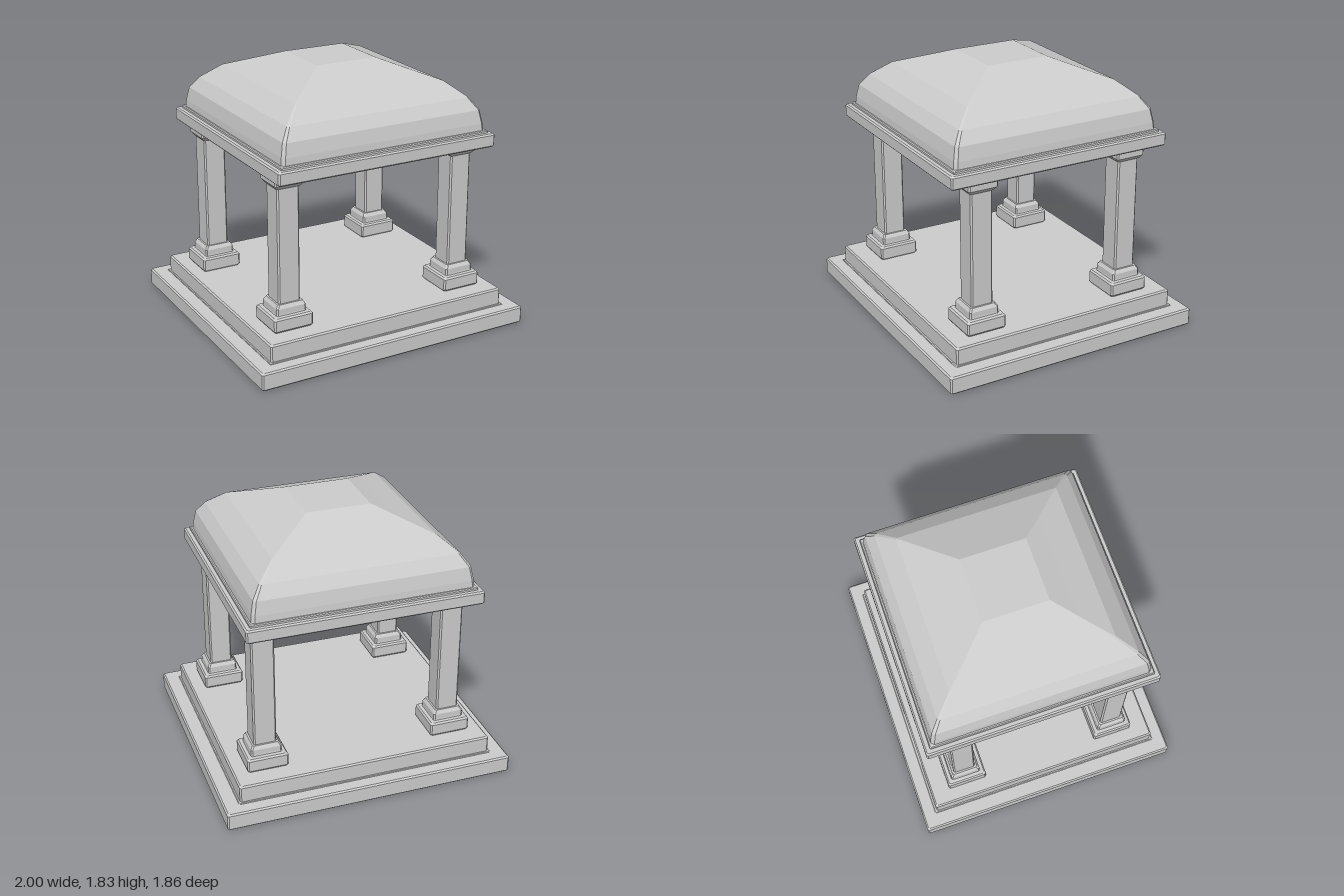
import * as THREE from 'three';

const material = new THREE.MeshStandardMaterial({ color: 0xcccccc, flatShading: true });

// Rectangular section with its four corners cut by c, counter-clockwise from above.
function section([hx, hz, y, c]) {
  const ix = hx - c, iz = hz - c;
  return [[hx, iz], [hx, -iz], [ix, -hz], [-ix, -hz], [-hx, -iz], [-hx, iz], [-ix, hz], [ix, hz]]
    .map(([x, z]) => [x, y, z]);
}

// Closed solid through sections [halfX, halfZ, y, cornerCut], listed bottom to top.
function loft(name, levels) {
  const rings = levels.map(section);
  const n = 8, pos = [];
  const tri = (a, b, c) => pos.push(...a, ...b, ...c);
  for (let k = 0; k < rings.length - 1; k++) {
    const lo = rings[k], hi = rings[k + 1];
    for (let i = 0; i < n; i++) {
      const j = (i + 1) % n;
      tri(lo[i], lo[j], hi[j]);
      tri(lo[i], hi[j], hi[i]);
    }
  }
  const bottom = rings[0], top = rings[rings.length - 1];
  for (let i = 1; i < n - 1; i++) {
    tri(bottom[0], bottom[i + 1], bottom[i]);
    tri(top[0], top[i], top[i + 1]);
  }
  const geometry = new THREE.BufferGeometry();
  geometry.setAttribute('position', new THREE.Float32BufferAttribute(pos, 3));
  geometry.computeVertexNormals();
  const mesh = new THREE.Mesh(geometry, material);
  mesh.name = name;
  return mesh;
}

// Slab with bevelled edges.
function slab(name, hx, hz, y0, y1, b = 0.01) {
  return loft(name, [
    [hx - b, hz - b, y0, b], [hx, hz, y0 + b, b],
    [hx, hz, y1 - b, b], [hx - b, hz - b, y1, b],
  ]);
}

// Square solid from a profile of [half width, y].
const square = (name, profile, cut) => loft(name, profile.map(([h, y]) => [h, h, y, cut]));

function pillar() {
  const g = new THREE.Group();
  g.name = 'pillar';
  g.add(
    square('pillarFoot', [
      [0.13, 0.24], [0.14, 0.255], [0.14, 0.33], [0.13, 0.342], [0.107, 0.345],
      [0.105, 0.355], [0.105, 0.39], [0.09, 0.415],
    ], 0.01),
    square('pillarShaft', [[0.078, 0.40], [0.078, 1.24]], 0.01),
    square('pillarCapital', [
      [0.085, 1.20], [0.105, 1.225], [0.105, 1.265], [0.095, 1.28],
    ], 0.01),
  );
  return g;
}

export function createModel() {
  const model = new THREE.Group();
  model.name = 'pavilion';

  // Stepped platform
  model.add(
    slab('lowerStep', 1, 0.93, 0, 0.122),
    slab('stepTrim', 0.898, 0.84, 0.11, 0.128, 0.004),
    slab('upperStep', 0.885, 0.825, 0.11, 0.243),
  );

  // Four corner pillars
  for (const sx of [-1, 1]) for (const sz of [-1, 1]) {
    const p = pillar();
    p.position.set(sx * 0.65, 0, sz * 0.553);
    model.add(p);
  }

  // Roof slab, trim and faceted square dome
  model.add(
    slab('roofSlab', 0.80, 0.80, 1.278, 1.37),
    slab('roofTrim', 0.765, 0.765, 1.36, 1.388, 0.006),
    loft('domeRoof', [
      [0.75, 0.75, 1.38, 0.02], [0.745, 0.745, 1.435, 0.02], [0.727, 0.727, 1.525, 0.018],
      [0.67, 0.67, 1.605, 0.014], [0.55, 0.55, 1.703, 0.008],
      [0.365, 0.365, 1.774, 0], [0.222, 0.222, 1.83, 0],
    ]),
  );
  return model;
}
